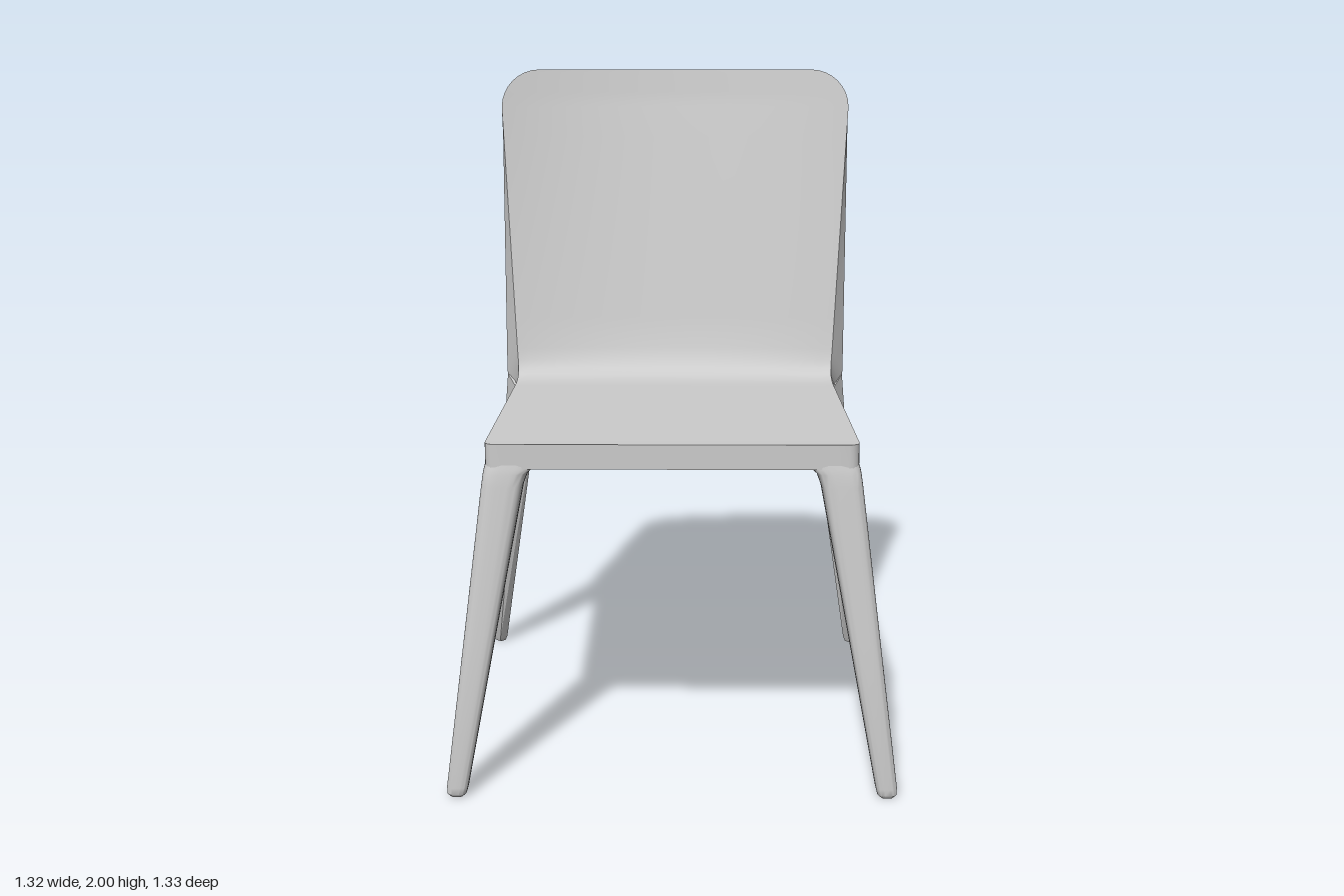
import * as THREE from 'three';
import { toCreasedNormals } from 'three/addons/utils/BufferGeometryUtils.js';

const material = new THREE.MeshStandardMaterial({ color: 0xcccccc });

// Skin a list of equal-length closed rings of [x, y, z], capped at both ends
function loft(name, rings, crease = 0.7) {
  const n = rings[0].length, last = (rings.length - 1) * n, index = [];
  for (let i = 0; i < rings.length - 1; i++) {
    for (let j = 0; j < n; j++) {
      const a = i * n + j, b = i * n + (j + 1) % n;
      index.push(a, b, b + n, a, b + n, a + n);
    }
  }
  for (let j = 0; j < n / 2 - 1; j++) {
    const k = n - 1 - j;
    index.push(j, k, k - 1, j, k - 1, j + 1);
    index.push(last + j, last + k - 1, last + k, last + j, last + j + 1, last + k - 1);
  }
  const geo = new THREE.BufferGeometry();
  geo.setAttribute('position', new THREE.Float32BufferAttribute(rings.flat(2), 3));
  geo.setIndex(index);
  const mesh = new THREE.Mesh(toCreasedNormals(geo, crease), material);
  mesh.name = name;
  return mesh;
}

// Mirror a ring to the other side, keeping its winding
const mirror = (ring, side) => side > 0 ? ring : ring.map(([x, y, z]) => [-x, y, z]).reverse();

// One row of the shell: straight edge point, half width, and how far the middle bows back
function row([z, y, w, bow], cols = 28) {
  const points = [];
  for (let j = 0; j <= cols; j++) {
    const x = w * (2 * j / cols - 1);
    points.push([x, y, z - bow * (1 - (x / 0.57) ** 2)]);
  }
  return points;
}

// Seat flowing up into the curved backrest
function createShell() {
  const stations = []; // [upper/front face, under/rear face], each [z, y, halfWidth, bow]
  // rounded front corners of the seat
  for (let i = 0; i <= 4; i++) {
    const a = Math.PI / 2 * (1 - i / 4);
    const z = 0.545 + 0.03 * Math.sin(a), w = 0.485 + 0.03 * Math.cos(a);
    stations.push([[z, 1, w, 0], [z, 0.93, w, 0]]);
  }
  // seat and the fillet into the back
  stations.push(
    [[-0.25, 1.0, 0.515, 0], [-0.34, 0.93, 0.515, 0]],
    [[-0.30, 1.001, 0.515, 0], [-0.39, 0.93, 0.515, 0.01]],
    [[-0.34, 1.006, 0.515, 0.003], [-0.42, 0.93, 0.52, 0.03]],
    [[-0.37, 1.016, 0.515, 0.008], [-0.438, 0.932, 0.53, 0.06]],
    [[-0.388, 1.033, 0.516, 0.016], [-0.452, 0.944, 0.542, 0.082]],
    [[-0.398, 1.058, 0.518, 0.026], [-0.462, 0.968, 0.555, 0.093]],
    [[-0.405, 1.095, 0.521, 0.036], [-0.466, 1.01, 0.562, 0.095]]);
  // tapering backrest, then its rounded top corners
  const back = (y, wf, wr, bow) => {
    const t = (y - 1.095) / 0.905;
    stations.push([[-0.405 - 0.15 * t, y, wf, bow], [-0.476 - 0.097 * t, y, wr, 0.093]]);
  };
  for (let i = 1; i <= 8; i++) {
    const t = i / 8;
    back(1.095 + 0.785 * t, 0.521 + 0.049 * t, 0.563 + 0.007 * t, 0.036 + 0.052 * t);
  }
  for (let i = 1; i <= 8; i++) {
    const a = Math.PI / 2 * i / 8, w = 0.45 + 0.12 * Math.cos(a);
    back(1.88 + 0.12 * Math.sin(a), w, w, 0.09);
  }
  return loft('seatAndBackrest', stations.map(([f, r]) => [...row(f), ...row(r).reverse()]), 0.6);
}

// Rounded-square ring spanning x0..x1, z0..z1 at height y
function roundedRing([y, x0, x1, z0, z1], n = 32) {
  const ring = [], p = (v) => Math.sign(v) * Math.abs(v) ** 0.55;
  for (let i = 0; i < n; i++) {
    const a = (i + 0.5) / n * Math.PI * 2;
    ring.push([(x0 + x1) / 2 + (x1 - x0) / 2 * p(Math.cos(a)), y,
      (z0 + z1) / 2 + (z1 - z0) / 2 * p(Math.sin(a))]);
  }
  return ring;
}

// Front leg: splayed, tapered, with a small flare under the seat and a soft foot
const frontLegRings = [
  [0.95, 0.375, 0.513, 0.47, 0.573],
  [0.929, 0.382, 0.519, 0.477, 0.578],
  [0.915, 0.398, 0.522, 0.483, 0.581],
  [0.88, 0.411, 0.527, 0.488, 0.585],
  [0.45, 0.493, 0.58, 0.544, 0.622],
  [0.03, 0.572, 0.632, 0.599, 0.66],
  [0.01, 0.577, 0.631, 0.603, 0.659],
  [0, 0.587, 0.622, 0.612, 0.65],
].map((s) => roundedRing(s));

// Rear leg: angular blade with corners in the order front, inner, rear, outer ridge
const rearLegRings = [
  [[0.512, 0.945, -0.385], [0.45, 0.94, -0.40], [0.485, 0.95, -0.49], [0.56, 1.0, -0.464]],
  [[0.622, 0.015, -0.6], [0.6, 0.015, -0.622], [0.632, 0.015, -0.658], [0.66, 0.015, -0.638]],
  [[0.622, 0, -0.608], [0.607, 0, -0.624], [0.632, 0, -0.651], [0.652, 0, -0.637]],
];

export function createModel() {
  const group = new THREE.Group();
  group.name = 'chair';
  group.add(createShell());
  for (const side of [1, -1]) {
    const label = side > 0 ? 'Left' : 'Right';
    group.add(loft('front' + label + 'Leg', frontLegRings.map((r) => mirror(r, side))));
    group.add(loft('rear' + label + 'Leg', rearLegRings.map((r) => mirror(r, side)), 0.4));
  }
  return group;
}
